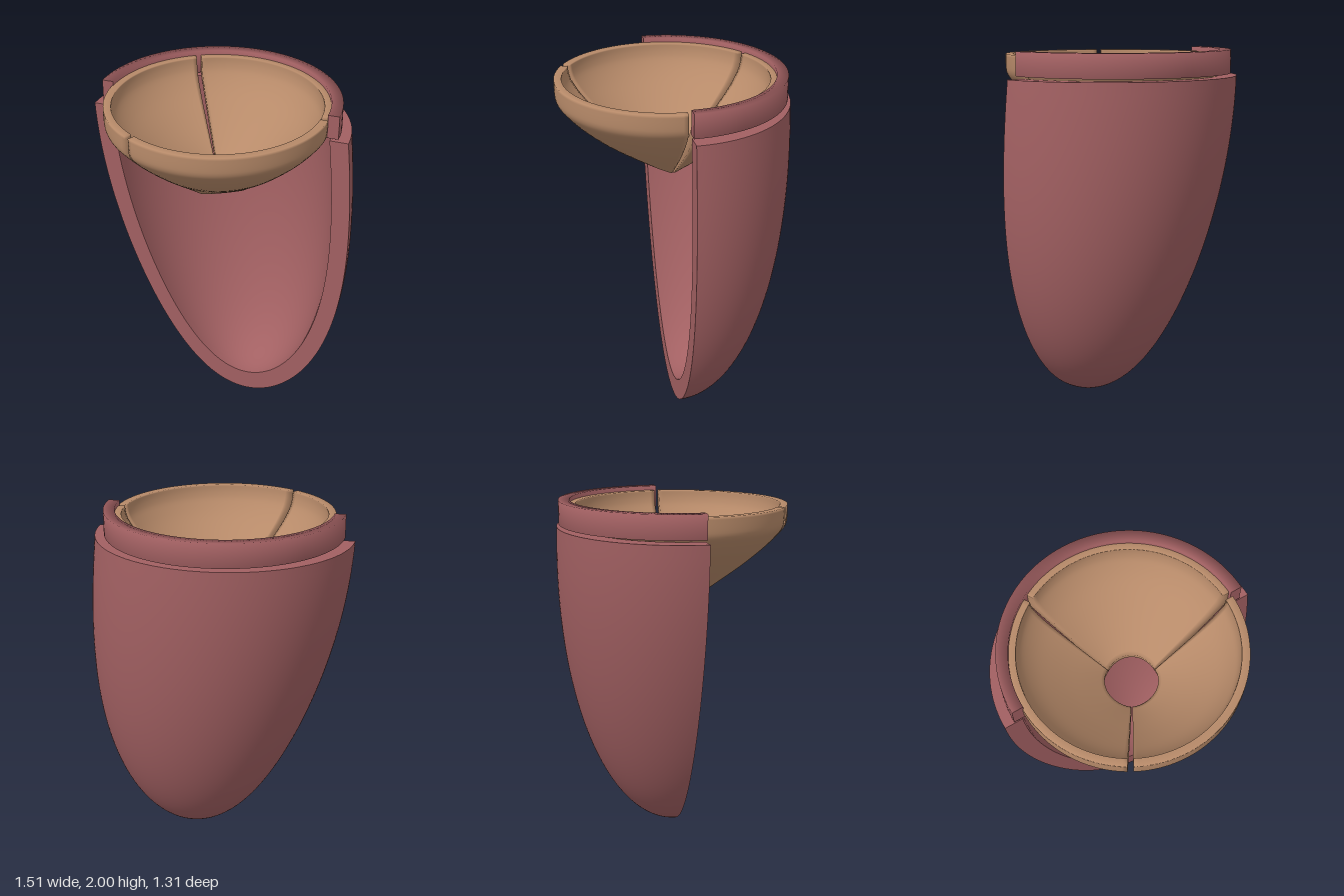
import * as THREE from 'three';
import { toCreasedNormals } from 'three/addons/utils/BufferGeometryUtils.js';

const CUT = 0.04; // z of the flat section plane
const TOP = 1.85; // height of the wall's rim
const MIDDLE = 1.72; // height where the wall is widest
const DEPTH = 0.94; // depth of the wall relative to its half width

// leaning half-ellipse as Vector3(centre x, height, half width), from tip to rim
function ellipsePath(bottom, width, steps = 48) {
  const h = MIDDLE - bottom;
  const end = Math.acos(1 - (TOP - bottom) / h);
  return Array.from({ length: steps + 1 }, (_, i) => {
    const t = (i / steps) * end;
    const y = bottom + h * (1 - Math.cos(t));
    const lean = (Math.pow(y / TOP, 1.5) + THREE.MathUtils.smoothstep(y, 0, TOP)) / 2;
    return new THREE.Vector3(0.16 - 0.18 * lean, y, width * Math.sin(t));
  });
}

// half-elliptical surface through the path
function halfShell(path, segments = 64) {
  const pos = [], index = [];
  path.forEach((p, i) => {
    for (let j = 0; j <= segments; j++) {
      const a = (j / segments) * Math.PI;
      pos.push(p.x + p.z * Math.cos(a), p.y, CUT - DEPTH * p.z * Math.sin(a));
      if (i < path.length - 1 && j < segments) {
        const k = i * (segments + 1) + j, up = k + segments + 1;
        index.push(k, k + 1, up, k + 1, up + 1, up);
      }
    }
  });
  const g = new THREE.BufferGeometry();
  g.setAttribute('position', new THREE.Float32BufferAttribute(pos, 3));
  g.setIndex(index);
  return toCreasedNormals(g, 0.7);
}

const points = (list) => list.map((p) => new THREE.Vector2(...p));

// thick sector of a funnel with an arched free edge and closed sides
function cuspGeometry(start, sweep, segments = 48) {
  const steps = 24;
  const outer = new THREE.SplineCurve(points([[0.152, 1.458], [0.27, 1.546], [0.4, 1.646],
    [0.52, 1.752], [0.59, 1.827], [0.616, 1.866], [0.622, 1.91], [0.622, 1.975]])).getPoints(steps);
  const inner = new THREE.SplineCurve(points([[0.58, 1.975], [0.574, 1.93], [0.552, 1.878],
    [0.485, 1.795], [0.37, 1.692], [0.25, 1.594], [0.147, 1.51]])).getPoints(steps);
  const loop = [...outer, ...inner, outer[0].clone()];
  const g = new THREE.LatheGeometry(loop, segments, start, sweep);

  // side walls joining the inside to the outside
  const index = [...g.index.array];
  const lastColumn = segments * loop.length, inside = 2 * steps + 1;
  for (let j = 0; j < steps; j++) {
    const a = j, b = j + 1, c = inside - j - 1, d = inside - j;
    index.push(a, b, c, a, c, d);
    index.push(...[a, c, b, a, d, c].map((k) => k + lastColumn));
  }
  g.setIndex(index);

  // raise the middle of the free edge and shift the opening sideways
  const p = g.attributes.position;
  for (let i = 0; i < p.count; i++) {
    const u = Math.floor(i / loop.length) / segments;
    const low = THREE.MathUtils.clamp((1.86 - p.getY(i)) / 0.4, 0, 1);
    p.setY(i, p.getY(i) + 0.035 * Math.sin(Math.PI * u) * low * low);
    p.setX(i, p.getX(i) + 0.02 * low);
  }
  g.computeVertexNormals();
  return g;
}

export function createModel() {
  const model = new THREE.Group();
  const red = new THREE.MeshStandardMaterial({ color: 0xa26062, side: THREE.DoubleSide });
  red.name = 'muscleRed';
  const tan = new THREE.MeshStandardMaterial({ color: 0xb78a69, side: THREE.DoubleSide });
  tan.name = 'valveTan';
  const add = (parent, name, geometry, material) => {
    const mesh = new THREE.Mesh(geometry, material);
    mesh.name = name;
    parent.add(mesh);
    return mesh;
  };

  // thick wall: outside, flat top rim, inside
  const outer = ellipsePath(0, 0.739), inner = ellipsePath(0.125, 0.635);
  const wall = new THREE.Group();
  wall.name = 'chamberWall';
  model.add(wall);
  add(wall, 'wallSurface', halfShell([...outer, ...inner.slice().reverse()]), red);

  // flat U-shaped section face
  const side = (path, s) => path.map((p) => new THREE.Vector2(p.x + s * p.z, p.y));
  const section = new THREE.Shape([
    ...side(outer, -1).reverse(), ...side(outer, 1).slice(1),
    ...side(inner, 1).reverse(), ...side(inner, -1).slice(1)]);
  add(wall, 'sectionFace', new THREE.ShapeGeometry(section), red).position.z = CUT;

  // half ring above the wall, softly shaded, with end caps
  const ring = new THREE.Group();
  ring.name = 'valveRing';
  ring.position.set(-0.02, 0, CUT);
  model.add(ring);
  const ringProfile = points([[0.65, 1.865], [0.681, 1.865], [0.681, 2], [0.617, 2], [0.617, 1.865]]);
  add(ring, 'ringBody',
    new THREE.LatheGeometry([...ringProfile, ringProfile[0].clone()], 64, Math.PI / 2, Math.PI), red);
  for (const s of [-1, 1]) {
    const cap = new THREE.Shape(ringProfile.map((p) => new THREE.Vector2(s * p.x, p.y)));
    add(ring, 'ringEnd', new THREE.ShapeGeometry(cap), red);
  }

  // three funnel-shaped cusps with narrow gaps between them
  const third = (Math.PI * 2) / 3, gap = 0.05;
  for (let n = 0; n < 3; n++) {
    const geometry = cuspGeometry(Math.PI / 2 + n * third + gap / 2, third - gap);
    add(model, 'valveCusp' + (n + 1), geometry, tan).position.set(-0.02, 0, 0.037);
  }
  return model;
}
